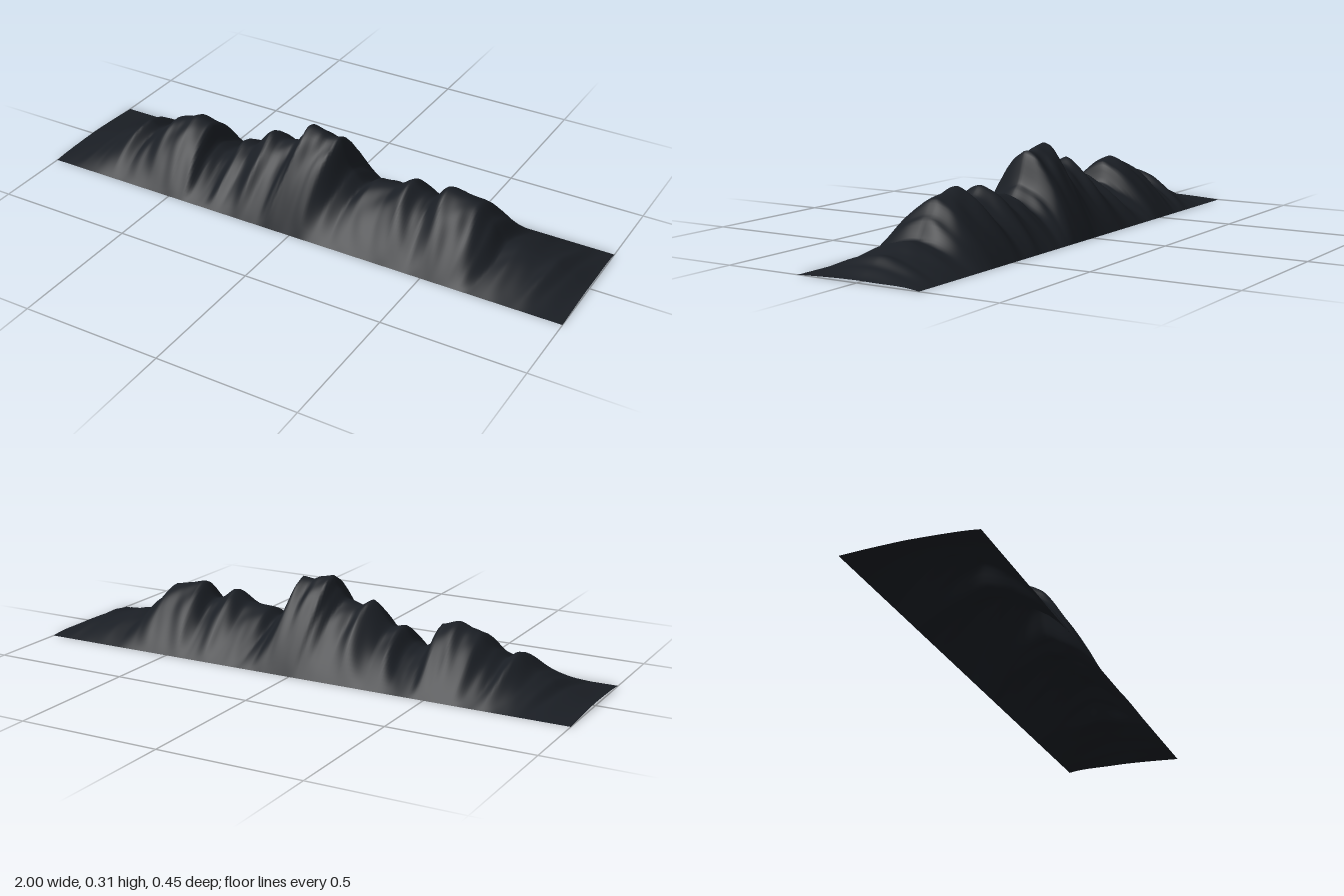
import * as THREE from 'three';

// Crest line of the ridge: x, height
const CREST = [
  -1, 0.01, -0.89, 0.035, -0.85, 0.062, -0.8, 0.08, -0.73, 0.138, -0.69, 0.11, -0.65, 0.135,
  -0.6, 0.185, -0.56, 0.195, -0.52, 0.213, -0.46, 0.195, -0.43, 0.125, -0.39, 0.105,
  -0.36, 0.115, -0.32, 0.17, -0.28, 0.16, -0.2, 0.243, -0.16, 0.22, -0.1, 0.233,
  -0.07, 0.27, -0.05, 0.31, 0, 0.3, 0.03, 0.287, 0.07, 0.293, 0.12, 0.18, 0.17, 0.135,
  0.21, 0.163, 0.29, 0.17, 0.35, 0.21, 0.4, 0.175, 0.43, 0.165, 0.48, 0.223, 0.55, 0.208,
  0.6, 0.198, 0.65, 0.145, 0.7, 0.078, 0.75, 0.085, 0.85, 0.058, 0.88, 0.063, 0.93, 0.035, 1, 0.008,
];
const LENGTH = 2, HALF_DEPTH = 0.225;

// Smoothly eased height of the crest at x
function crest(x) {
  x = THREE.MathUtils.clamp(x, -1, 1);
  let i = 0;
  while (i < CREST.length - 4 && CREST[i + 2] < x) i += 2;
  const t = (x - CREST[i]) / (CREST[i + 2] - CREST[i]);
  const s = THREE.MathUtils.lerp(t, t * t * (3 - 2 * t), 0.5);
  return THREE.MathUtils.lerp(CREST[i + 1], CREST[i + 3], s);
}

// Domed slope, with gullies that drift sideways away from the crest
function height(x, z) {
  const t = Math.min(1, Math.abs(z) / HALF_DEPTH);
  const slope = 1 - Math.pow(t, 1.55);
  const drift = 0.03 * t * Math.sin(7 * x + 9 * z) + 0.06 * z;
  const u = x + drift;
  const gullies = 0.04 * Math.sin(53 * u + 6 * Math.sin(11 * z)) + 0.025 * Math.sin(97 * u - 23 * z);
  return crest(u) * slope * (1 + t * (gullies - 0.01));
}

export function createModel() {
  const group = new THREE.Group();
  group.name = 'mountainRange';

  // Open sheet raised into a ridge
  const geometry = new THREE.PlaneGeometry(LENGTH, 2 * HALF_DEPTH, 260, 48);
  geometry.rotateX(-Math.PI / 2);
  const p = geometry.attributes.position;
  for (let i = 0; i < p.count; i++) p.setY(i, Math.max(0, height(p.getX(i), p.getZ(i))));
  geometry.computeVertexNormals();

  const rock = new THREE.MeshStandardMaterial({ color: 0x1a1e24, side: THREE.DoubleSide });
  const ridge = new THREE.Mesh(geometry, rock);
  ridge.name = 'mountainRidge';
  group.add(ridge);
  return group;
}
